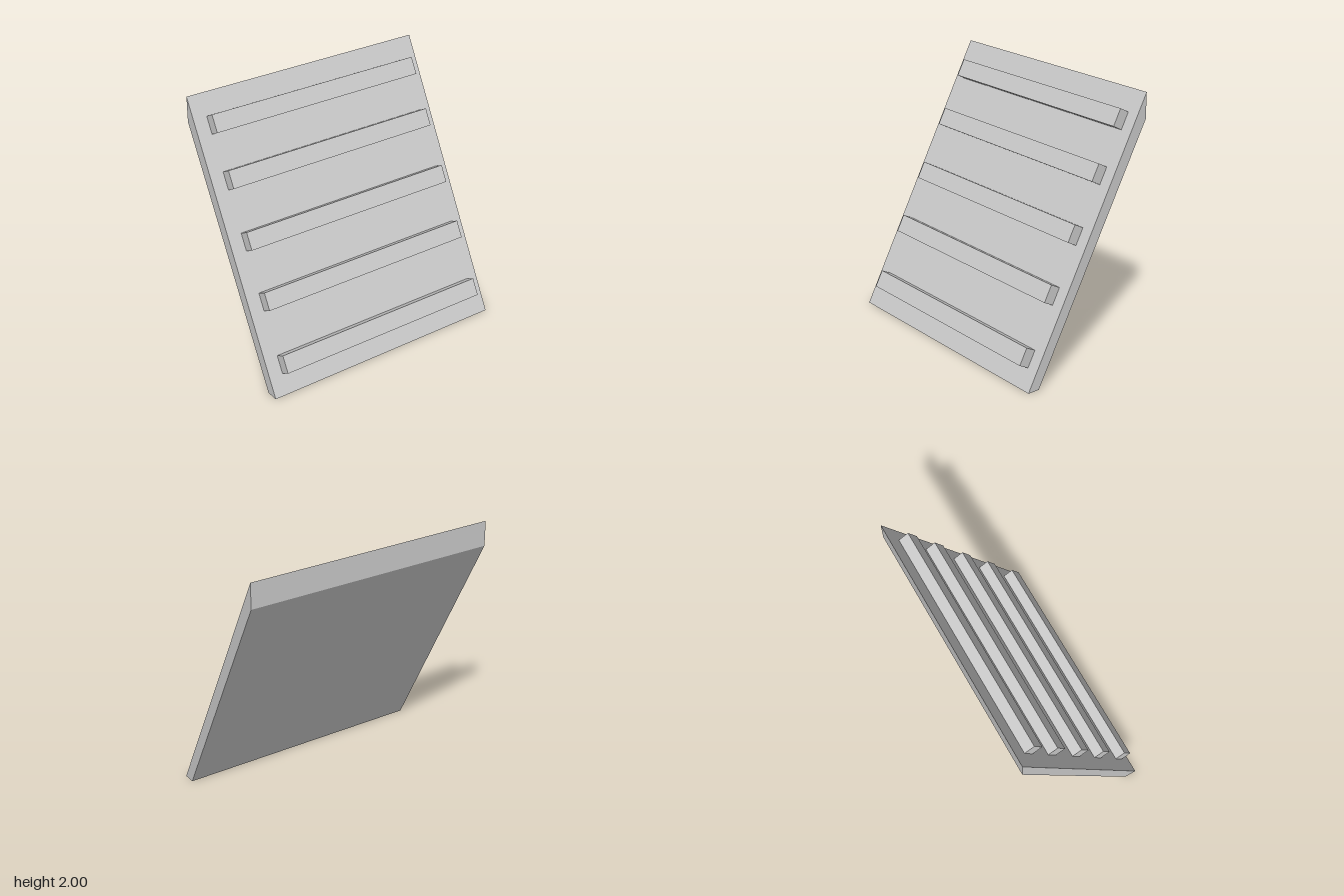
import * as THREE from 'three';

export function createModel() {
  const model = new THREE.Group();
  const material = new THREE.MeshStandardMaterial({ color: 0xcccccc });

  // Sloping board: side profile in (z, y), swept across x
  const halfDepth = 0.525, height = 2;
  const profile = new THREE.Shape([
    [halfDepth, 0], [-halfDepth, height], [-halfDepth, 1.805], [0.43, 0],
  ].map(([z, y]) => new THREE.Vector2(z, y)));
  const boardGeometry = new THREE.ExtrudeGeometry(profile, { depth: 2, bevelEnabled: false });
  boardGeometry.translate(0, 0, -1).rotateY(-Math.PI / 2);
  const board = new THREE.Mesh(boardGeometry, material);
  board.name = 'slopingBoard';
  model.add(board);

  // Five cleats square to the board face, slightly sunk into it
  const tilt = Math.atan2(2 * halfDepth, height);
  const cleatWidth = 0.135, cleatRise = 0.085, sink = 0.02;
  const cleatGeometry = new THREE.BoxGeometry(1.795, cleatWidth, cleatRise + sink);
  cleatGeometry.translate(0.0075, cleatWidth / 2, (cleatRise - sink) / 2);
  [0.14, 0.56, 0.96, 1.365, 1.73].forEach((y, i) => {
    const cleat = new THREE.Mesh(cleatGeometry, material);
    cleat.name = `cleat${i + 1}`;
    cleat.position.set(0, y, halfDepth - y * Math.tan(tilt));
    cleat.rotation.x = -tilt;
    model.add(cleat);
  });

  return model;
}
